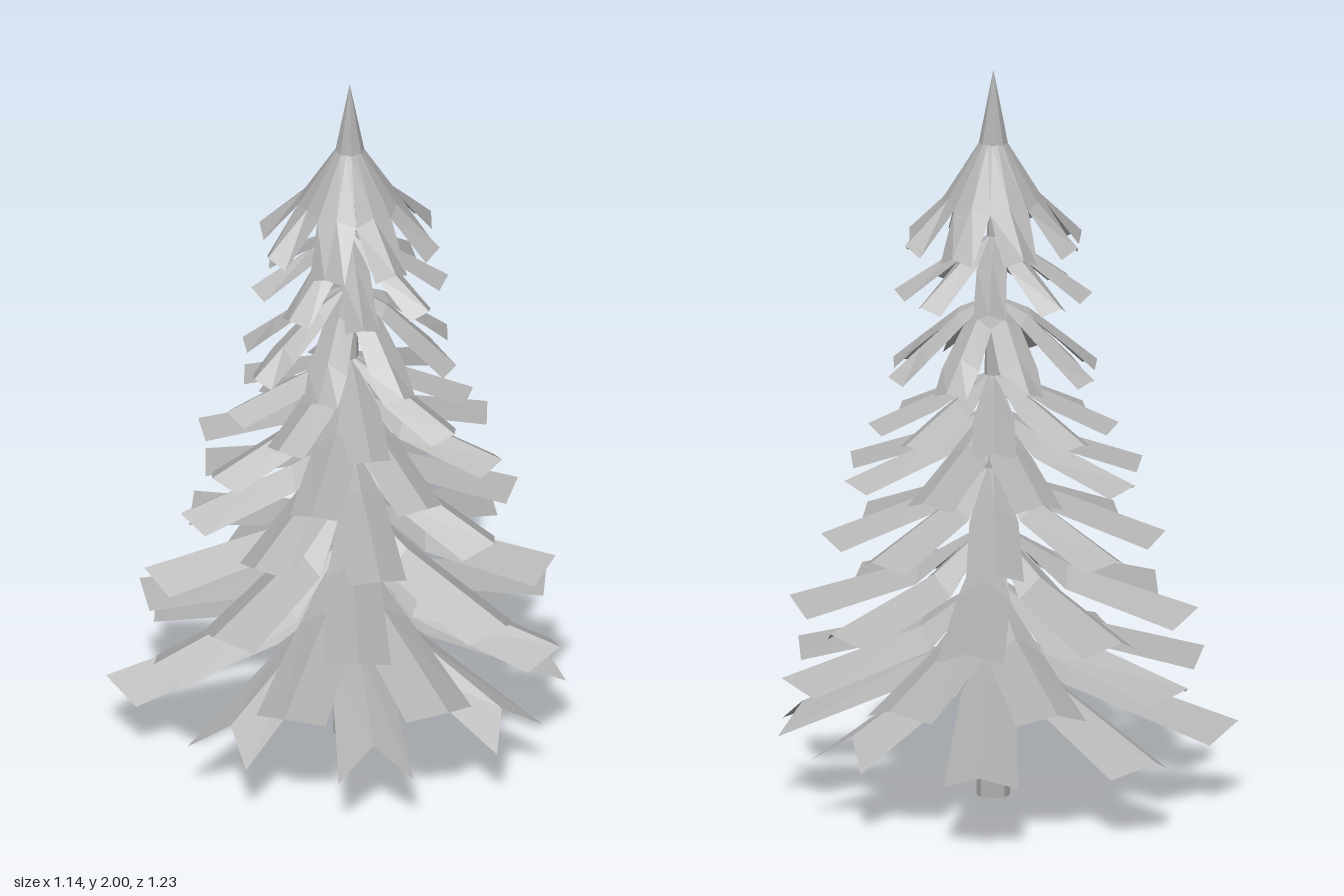
import * as THREE from 'three';

const foliage = new THREE.MeshStandardMaterial({ color: 0xb0b0b0, flatShading: true, side: THREE.DoubleSide });
const bark = new THREE.MeshStandardMaterial({ color: 0xb0b0b0, flatShading: true });

// Small seeded generator for natural irregularity
let seed = 7;
const jitter = (amount) => {
  seed = (seed * 16807) % 2147483647;
  return (seed / 2147483647 - 0.5) * 2 * amount;
};

// Each bough is a list of sections along its ridge: [radius, height, half width, drop of the edges].
// lag: how far the end corners stay behind the ridge tip (negative makes a notched end).
const notched = {
  lag: -0.06,
  sections: [[0.01, 0.45, 0.015, 0.01], [0.2, 0.375, 0.075, 0.05], [0.51, 0.25, 0.1, 0.075]],
};
const pointed = {
  lag: 0.07,
  sections: [[0.01, 0.45, 0.015, 0.01], [0.2, 0.375, 0.075, 0.05], [0.655, 0.215, 0.1, 0.045]],
};

// Rings from top to bottom; turn is in degrees
const rings = [
  { turn: 22, lag: 0.025, sections: [[0, 2, 0, 0], [0.036, 1.8, 0.015, 0.002], [0.13, 1.65, 0.054, 0.015], [0.25, 1.535, 0.048, 0.025]] },
  { turn: 0, lag: 0.03, sections: [[0, 1.55, 0.006, 0], [0.1, 1.5, 0.04, 0.025], [0.265, 1.39, 0.045, 0.022]] },
  { turn: 22, lag: 0.025, sections: [[0, 1.38, 0.006, 0], [0.1, 1.335, 0.042, 0.025], [0.205, 1.25, 0.054, 0.03], [0.295, 1.175, 0.048, 0.018]] },
  { turn: 3, lag: 0.035, sections: [[0, 1.17, 0.01, 0], [0.15, 1.11, 0.055, 0.035], [0.335, 1.025, 0.058, 0.022]] },
  { turn: 22, lag: 0.04, sections: [[0, 1.08, 0.01, 0], [0.15, 1.0, 0.06, 0.04], [0.42, 0.9, 0.068, 0.027]] },
  { turn: 4, lag: 0.05, sections: [[0, 0.92, 0.012, 0], [0.16, 0.84, 0.065, 0.045], [0.46, 0.725, 0.078, 0.032]] },
  { turn: -4, lag: 0.06, sections: [[0.01, 0.75, 0.012, 0], [0.2, 0.64, 0.072, 0.05], [0.55, 0.53, 0.09, 0.043]] },
  { turn: 20, lag: 0.06, sections: [[0.01, 0.6, 0.012, 0], [0.2, 0.48, 0.078, 0.05], [0.59, 0.365, 0.097, 0.038]] },
  { turn: -1, ...notched, back: pointed },
];

// Folded bough: a raised ridge with two drooping sides, running along +z
function boughGeometry({ sections, lag }) {
  const positions = [];
  const indices = [];
  sections.forEach(([r, y, w, drop], i) => {
    const edge = i === sections.length - 1 ? r - lag : r;
    positions.push(-w, y - drop, edge, 0, y, r, w, y - drop, edge);
    if (i === 0) return;
    const a = (i - 1) * 3, b = i * 3;
    indices.push(a, b, b + 1, a, b + 1, a + 1);
    indices.push(a + 1, b + 1, b + 2, a + 1, b + 2, a + 2);
  });
  const geometry = new THREE.BufferGeometry();
  geometry.setAttribute('position', new THREE.Float32BufferAttribute(positions, 3));
  geometry.setIndex(indices);
  geometry.computeVertexNormals();
  return geometry;
}

export function createModel() {
  seed = 7;
  const tree = new THREE.Group();
  tree.name = 'coniferTree';

  // Tapered trunk
  const trunk = new THREE.Mesh(new THREE.CylinderGeometry(0.012, 0.045, 1.8, 8), bark);
  trunk.name = 'trunk';
  trunk.position.y = 0.9;
  tree.add(trunk);

  // Rings of eight boughs; the lowest ring has three long pointed ones at the back
  rings.forEach((ring, t) => {
    const group = new THREE.Group();
    group.name = t === 0 ? 'crown' : `boughRing${t}`;
    for (let i = 0; i < 8; i++) {
      const shape = ring.back && i >= 3 && i <= 5 ? ring.back : ring;
      const bough = new THREE.Mesh(boughGeometry(shape), foliage);
      bough.name = 'bough';
      bough.rotation.y = THREE.MathUtils.degToRad(i * 45 + ring.turn + jitter(t === 0 ? 0.3 : 1.5));
      group.add(bough);
    }
    tree.add(group);
  });

  tree.position.z = 0.04;
  const model = new THREE.Group();
  model.name = 'model';
  model.add(tree);
  return model;
}
